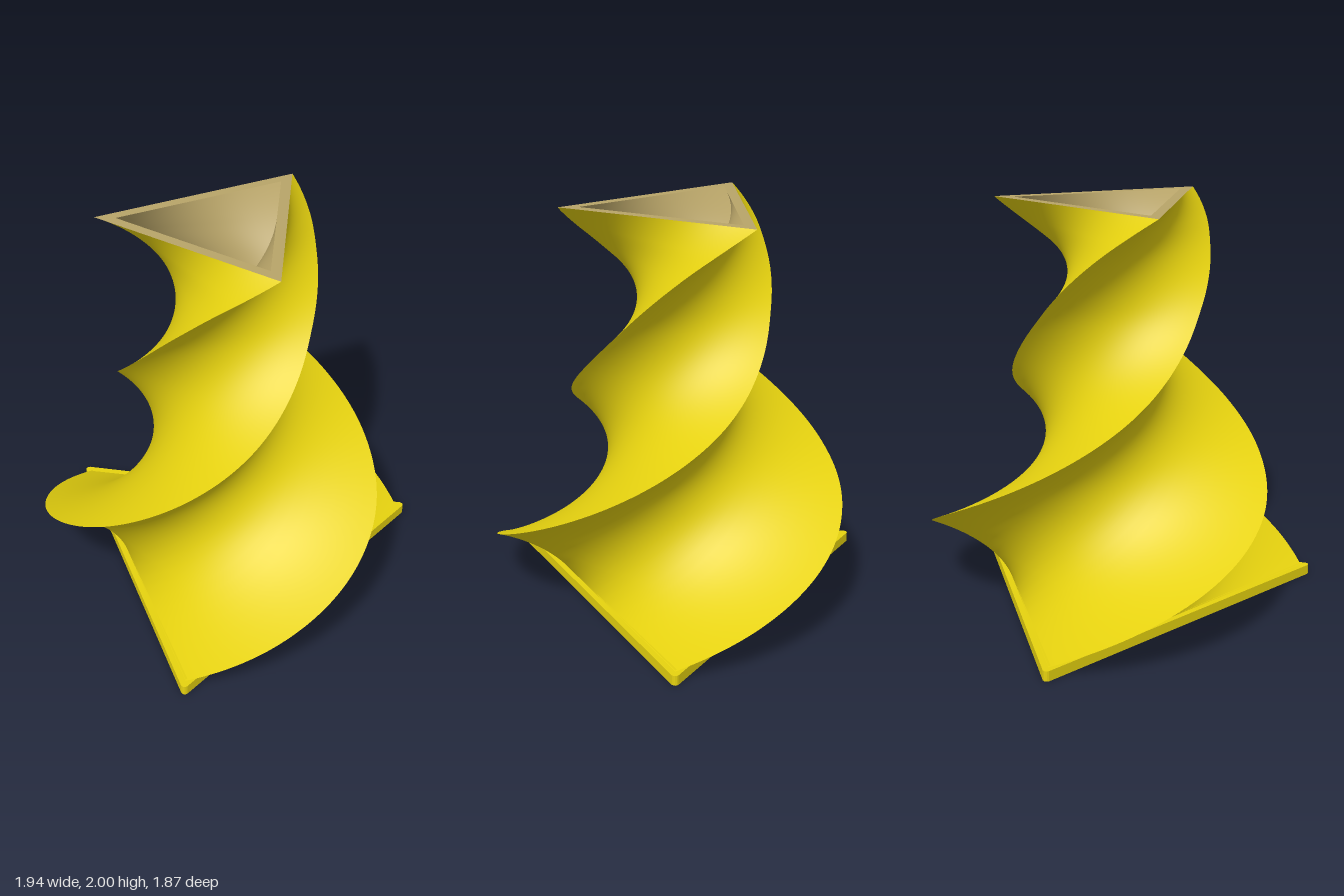
import * as THREE from 'three';
import { mergeGeometries } from 'three/addons/utils/BufferGeometryUtils.js';

const CENTRE = { x: -0.07, z: -0.035 };
const Y0 = 0.05, Y1 = 2, WALL = 0.05;
const TWIST = THREE.MathUtils.degToRad(-276);

// Corner radius of the triangular section against height: wide foot, waist, flared mouth
const profile = new THREE.SplineCurve([
  [0.05, 1.0], [0.22, 0.97], [0.4, 0.915], [0.58, 0.83], [0.77, 0.715], [0.97, 0.605],
  [1.22, 0.49], [1.42, 0.44], [1.57, 0.44], [1.75, 0.475], [1.88, 0.53], [2, 0.592],
].map(([y, r]) => new THREE.Vector2(y, r)));

// Point on one side of the twisted triangle; s runs from corner to corner
function sidePoint(side, s, t, inset) {
  const p = profile.getPoint(t);
  const r = Math.max(p.y - 2 * inset, 0);
  const a = TWIST * (p.x - Y0) / (Y1 - Y0) + side * Math.PI * 2 / 3;
  const b = a + Math.PI * 2 / 3;
  return [
    r * THREE.MathUtils.lerp(Math.cos(a), Math.cos(b), s), p.x,
    r * THREE.MathUtils.lerp(Math.sin(a), Math.sin(b), s),
  ];
}

// Grid surface for each of the three sides, unshared at the corners so ridges stay sharp
function threeSides(pointAt, nu, nv, flip = false) {
  const sides = [0, 1, 2].map((side) => {
    const pos = [], index = [];
    for (let j = 0; j <= nv; j++) {
      for (let i = 0; i <= nu; i++) pos.push(...pointAt(side, i / nu, j / nv));
    }
    for (let j = 0; j < nv; j++) {
      for (let i = 0; i < nu; i++) {
        const a = j * (nu + 1) + i, b = a + 1, c = a + nu + 1, d = c + 1;
        if (flip) index.push(a, b, c, b, d, c);
        else index.push(a, c, b, b, c, d);
      }
    }
    const g = new THREE.BufferGeometry();
    g.setAttribute('position', new THREE.Float32BufferAttribute(pos, 3));
    g.setIndex(index);
    g.computeVertexNormals();
    return g;
  });
  return mergeGeometries(sides);
}

// Triangular plate with slightly blunted corners
function plateGeometry() {
  const R = 1.06, cut = 0.05;
  const corner = (k) => new THREE.Vector2(Math.cos(k * Math.PI * 2 / 3), Math.sin(k * Math.PI * 2 / 3)).multiplyScalar(R);
  const pts = [];
  for (let k = 0; k < 3; k++) {
    const c = corner(k), before = corner(k + 2), after = corner(k + 1);
    const start = c.clone().lerp(before, cut / 3), end = c.clone().lerp(after, cut / 3);
    pts.push(...new THREE.QuadraticBezierCurve(start, c.clone().multiplyScalar(0.99), end).getPoints(4));
  }
  const g = new THREE.ExtrudeGeometry(new THREE.Shape(pts), { depth: Y0, bevelEnabled: false });
  return g.rotateX(-Math.PI / 2);
}

export function createModel() {
  const model = new THREE.Group();
  model.name = 'twistedVase';
  const yellow = new THREE.MeshStandardMaterial({ color: 0xe6d20f });
  const tan = new THREE.MeshStandardMaterial({ color: 0xb8a468 });

  const add = (name, geometry, material) => {
    const mesh = new THREE.Mesh(geometry, material);
    mesh.name = name;
    mesh.position.set(CENTRE.x, 0, CENTRE.z);
    model.add(mesh);
  };

  add('basePlate', plateGeometry(), yellow);

  // Outer and inner skins of the twisted wall
  add('outerWall', threeSides((k, s, t) => sidePoint(k, s, t, 0), 20, 160), yellow);
  add('innerWall', threeSides((k, s, t) => sidePoint(k, s, t, WALL), 20, 160, true), tan);

  // Flat lip joining the two skins at the mouth
  add('rim', threeSides((k, s, t) => sidePoint(k, s, 1, WALL * t), 1, 1), tan);

  // Floor inside the vase
  add('floor', threeSides((k, s, t) => {
    const [x, y, z] = sidePoint(k, s, 0, 0);
    return [x * (1 - t), y + 0.005, z * (1 - t)];
  }, 1, 1), yellow);

  return model;
}
